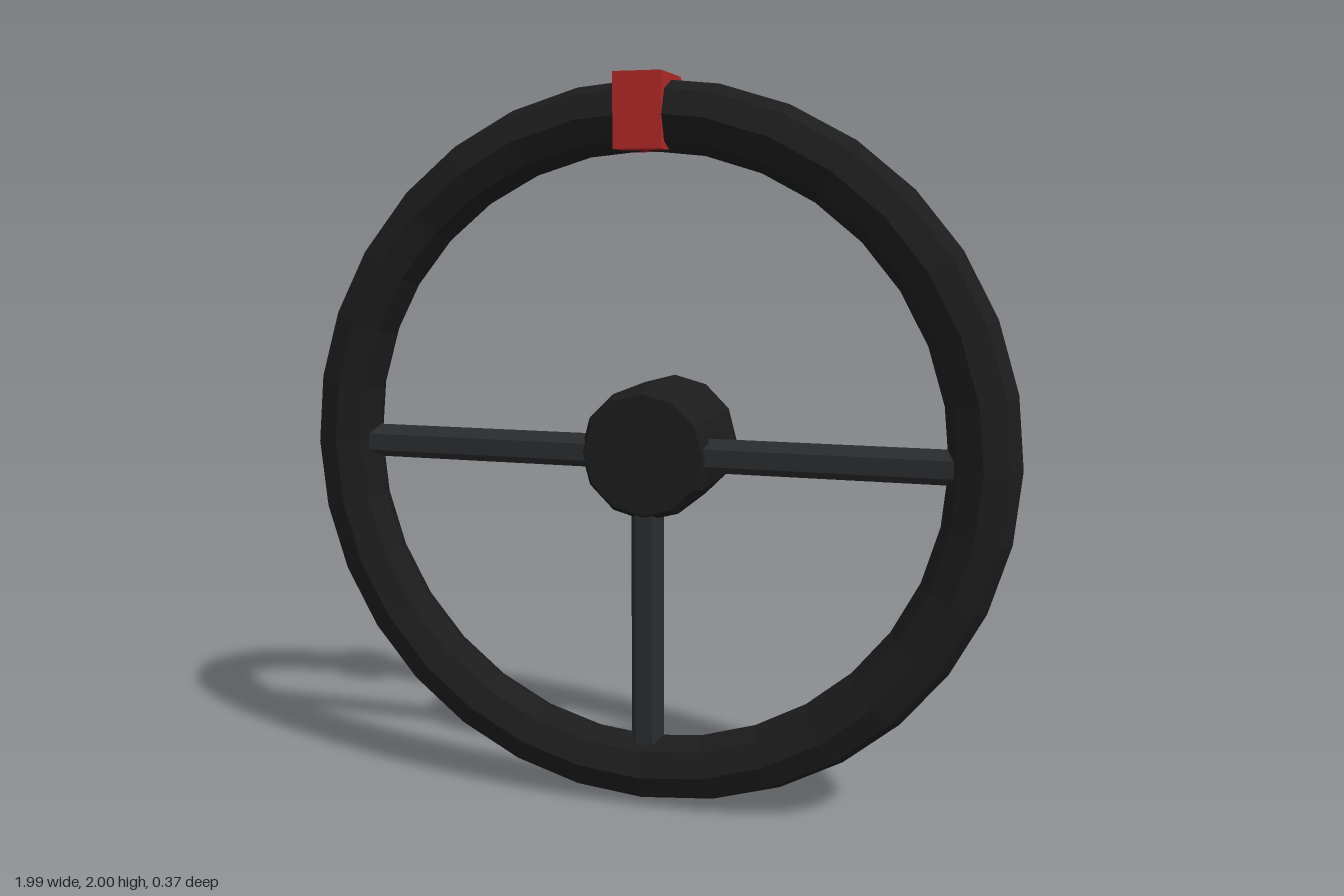
import * as THREE from 'three';

const CENTER_Y = 0.997;
const RIM_Z = 0.09;

const paint = (color) => new THREE.MeshStandardMaterial({ color, flatShading: true });

export function createModel() {
  const model = new THREE.Group();
  model.name = 'steeringWheel';

  const add = (name, geometry, material, x, y, z) => {
    const mesh = new THREE.Mesh(geometry, material);
    mesh.name = name;
    mesh.position.set(x, y, z);
    model.add(mesh);
    return mesh;
  };

  const black = paint(0x1c1c1c);
  const darkGrey = paint(0x2a2b2d);
  const red = paint(0xb02828);

  // Grip rim: octagonal tube bent into a ring
  add('rim', new THREE.TorusGeometry(0.9, 0.093, 8, 32), black, 0, CENTER_Y, RIM_Z);

  // Hub: twelve-sided drum with a narrowed front cap
  const profile = [
    [0, -0.185], [0.185, -0.185], [0.185, 0.11], [0.167, 0.14], [0, 0.14],
  ].map(([r, z]) => new THREE.Vector2(r, z));
  const hub = new THREE.LatheGeometry(profile, 12);
  hub.rotateX(Math.PI / 2);
  add('hub', hub, black, 0, CENTER_Y, 0);

  // Three hexagonal spokes: left, right and down
  const inner = 0.1, outer = 0.825;
  const spoke = new THREE.CylinderGeometry(0.047, 0.047, outer - inner, 6);
  spoke.rotateY(Math.PI / 2);
  spoke.translate(0, (inner + outer) / 2, 0);
  const turns = { leftSpoke: -Math.PI / 2, rightSpoke: Math.PI / 2, lowerSpoke: Math.PI };
  for (const [name, angle] of Object.entries(turns)) {
    add(name, spoke, darkGrey, 0, CENTER_Y, RIM_Z).rotation.z = angle;
  }

  // Centre marker block at the top of the rim
  add('topMarker', new THREE.BoxGeometry(0.13, 0.195, 0.192), red, 0, 1.9025, RIM_Z);

  return model;
}
